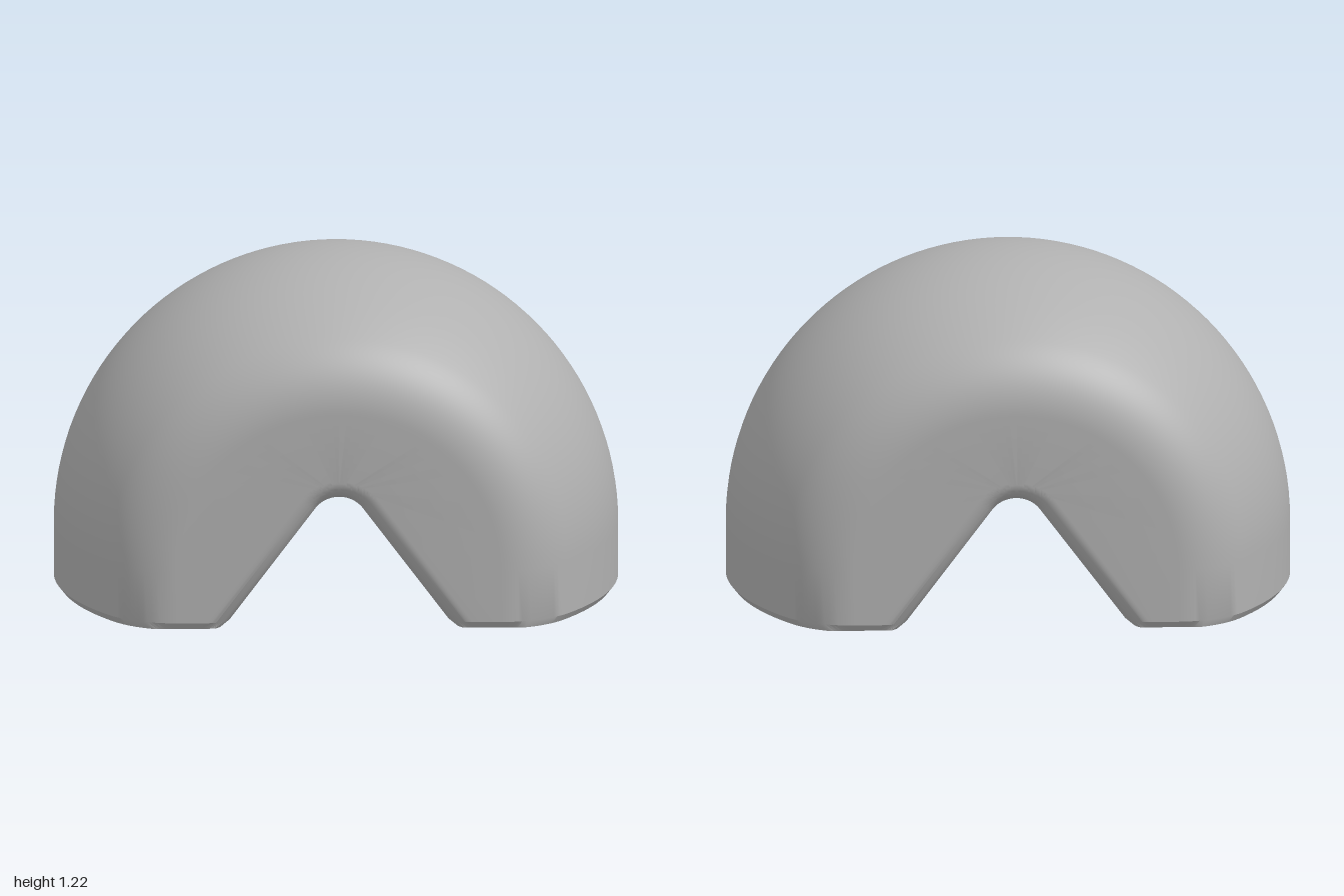
import * as THREE from 'three';
import { toCreasedNormals } from 'three/addons/utils/BufferGeometryUtils.js';

const CY = 0.215;            // height of the dome's centre
const HALF = 0.705;          // half depth
const FILLET = 0.3;          // rounding between dome and flat ends
const LIP = 0.07;            // rounding where the notch meets the ends
const BEVEL = 0.025;         // chamfer around the feet
const SLOT = { z: 0.3, x: 0.89, y: 0.37 };
const ARC = 32;

// Depth stations: z, outer radius r, notch growth o
function makeStations() {
  const half = [];
  for (let i = 0; i <= 11; i++) half.push([i * 0.05, Math.sqrt(1 - (i * 0.05) ** 2)]);
  const zc = HALF - FILLET, rc = Math.sqrt((1 - FILLET) ** 2 - zc * zc);
  const a0 = Math.atan2(zc, rc), n = 18;
  for (let i = 0; i <= n; i++) {
    const a = a0 + (Math.PI / 2 - a0) * i / n;
    half.push([zc + FILLET * Math.sin(a), rc + FILLET * Math.cos(a)]);
  }
  const list = half.map(([z, r]) => {
    const t = Math.min(LIP, Math.max(0, z - (HALF - LIP)));
    return { z, r, o: LIP - Math.sqrt(Math.max(0, LIP * LIP - t * t)) };
  });
  return [...list.slice(1).reverse().map(s => ({ ...s, z: -s.z })), ...list];
}

const footZ = z => Math.sign(z) * Math.min(Math.abs(z), HALF - 0.02);
const notchX = (y, o = 0) => (0.324 + o - 0.6 * y) / 0.8;

// Mirror a +x half curve that ends on the centre line
const mirrored = half => [...half, ...half.slice(0, -1).reverse().map(([x, y, z]) => [-x, y, z])];

function outerCurve({ z, r }) {
  const pts = [[r - 0.02, 0, footZ(z)], [r, BEVEL, z], [r, CY, z]];
  for (let i = 0; i <= ARC; i++) {
    const a = (i + 1) / (ARC + 1) * Math.PI / 2;
    pts.push([i === ARC ? 0 : r * Math.cos(a), CY + r * Math.sin(a), z]);
  }
  return mirrored(pts);
}

function notchCurve({ z, o }) {
  const pts = [
    [notchX(BEVEL, o) + 0.03, 0, footZ(z)],
    [notchX(BEVEL, o), BEVEL, z],
    [notchX(SLOT.y, o), SLOT.y, z]
  ];
  const a0 = Math.atan2(0.6, 0.8), rad = 0.105 + o;
  for (let i = 0; i <= ARC; i++) {
    const a = a0 + (Math.PI / 2 - a0) * i / ARC;
    pts.push([i === ARC ? 0 : rad * Math.cos(a), 0.365 + rad * Math.sin(a), z]);
  }
  return mirrored(pts);
}

// Join successive curves with quads
function loft(rows, flip, skip = () => false) {
  const pos = [];
  for (let j = 0; j + 1 < rows.length; j++) {
    for (let k = 0; k + 1 < rows[j].length; k++) {
      if (skip(j, k)) continue;
      const a = rows[j][k], b = rows[j][k + 1], c = rows[j + 1][k + 1], d = rows[j + 1][k];
      const tris = flip ? [a, c, b, a, d, c] : [a, b, c, a, c, d];
      tris.forEach(p => pos.push(...p));
    }
  }
  return pos;
}

export function createModel() {
  const group = new THREE.Group();
  const grey = new THREE.MeshStandardMaterial({ color: 0xb0b0b0, side: THREE.DoubleSide });
  grey.name = 'plain grey';
  const add = (name, geometry) => {
    const mesh = new THREE.Mesh(geometry, grey);
    mesh.name = name;
    group.add(mesh);
    return mesh;
  };

  // Dome, notch and flat ends as one smooth shell
  const stations = makeStations();
  const outer = stations.map(outerCurve), notch = stations.map(notchCurve);
  const last = stations.length - 1, eps = 1e-6;
  const inSlot = (j, k) => k < 2 &&
    stations[j].z >= -SLOT.z - eps && stations[j + 1].z <= SLOT.z + eps;
  const pos = [
    ...loft(outer, false),
    ...loft(notch, true, inSlot),
    ...loft([outer[last], notch[last]], false),
    ...loft([outer[0], notch[0]], true)
  ];
  const shell = new THREE.BufferGeometry();
  shell.setAttribute('position', new THREE.Float32BufferAttribute(pos, 3));
  add('domeShell', toCreasedNormals(shell, 0.5));

  // Flat undersides of the two feet, one with a slot and one with a round hole
  const outerEdge = outer.map(c => [c[0][0], c[0][2]]);
  const notchEdge = notch.map(c => [c[0][0], c[0][2]]).reverse();
  const slotX = notchX(BEVEL) + 0.03;
  const slotEdge = [
    ...notchEdge.filter(p => p[1] > SLOT.z + eps),
    [slotX, SLOT.z], [SLOT.x, SLOT.z], [SLOT.x, -SLOT.z], [slotX, -SLOT.z],
    ...notchEdge.filter(p => p[1] < -SLOT.z - eps)
  ];
  const toShape = pts => new THREE.Shape(pts.map(([x, y]) => new THREE.Vector2(x, y)));
  const slotFoot = toShape([...outerEdge, ...slotEdge]);
  const holeFoot = toShape([...outerEdge, ...notchEdge].map(([x, z]) => [-x, z]));
  const HOLE = { x: -0.65, r: 0.1, depth: 0.4 };
  holeFoot.holes.push(new THREE.Path().absarc(HOLE.x, 0, HOLE.r, 0, Math.PI * 2, true));
  add('slottedFoot', new THREE.ShapeGeometry(slotFoot).rotateX(Math.PI / 2));
  add('drilledFoot', new THREE.ShapeGeometry(holeFoot, 24).rotateX(Math.PI / 2));

  // Round blind hole
  add('holeWall', new THREE.CylinderGeometry(HOLE.r, HOLE.r, HOLE.depth, 48, 1, true))
    .position.set(HOLE.x, HOLE.depth / 2, 0);
  add('holeEnd', new THREE.CircleGeometry(HOLE.r, 48).rotateX(Math.PI / 2))
    .position.set(HOLE.x, HOLE.depth, 0);

  // Slot open to the notch and the underside
  const topX = notchX(SLOT.y);
  const side = toShape([[slotX, 0], [SLOT.x, 0], [SLOT.x, SLOT.y], [topX, SLOT.y], [notchX(BEVEL), BEVEL]]);
  for (const s of [-1, 1]) {
    add('slotSide', new THREE.ShapeGeometry(side)).position.z = s * SLOT.z;
  }
  add('slotEnd', new THREE.PlaneGeometry(2 * SLOT.z, SLOT.y).rotateY(-Math.PI / 2))
    .position.set(SLOT.x, SLOT.y / 2, 0);
  add('slotCeiling', new THREE.PlaneGeometry(SLOT.x - topX, 2 * SLOT.z).rotateX(Math.PI / 2))
    .position.set((SLOT.x + topX) / 2, SLOT.y, 0);

  return group;
}
